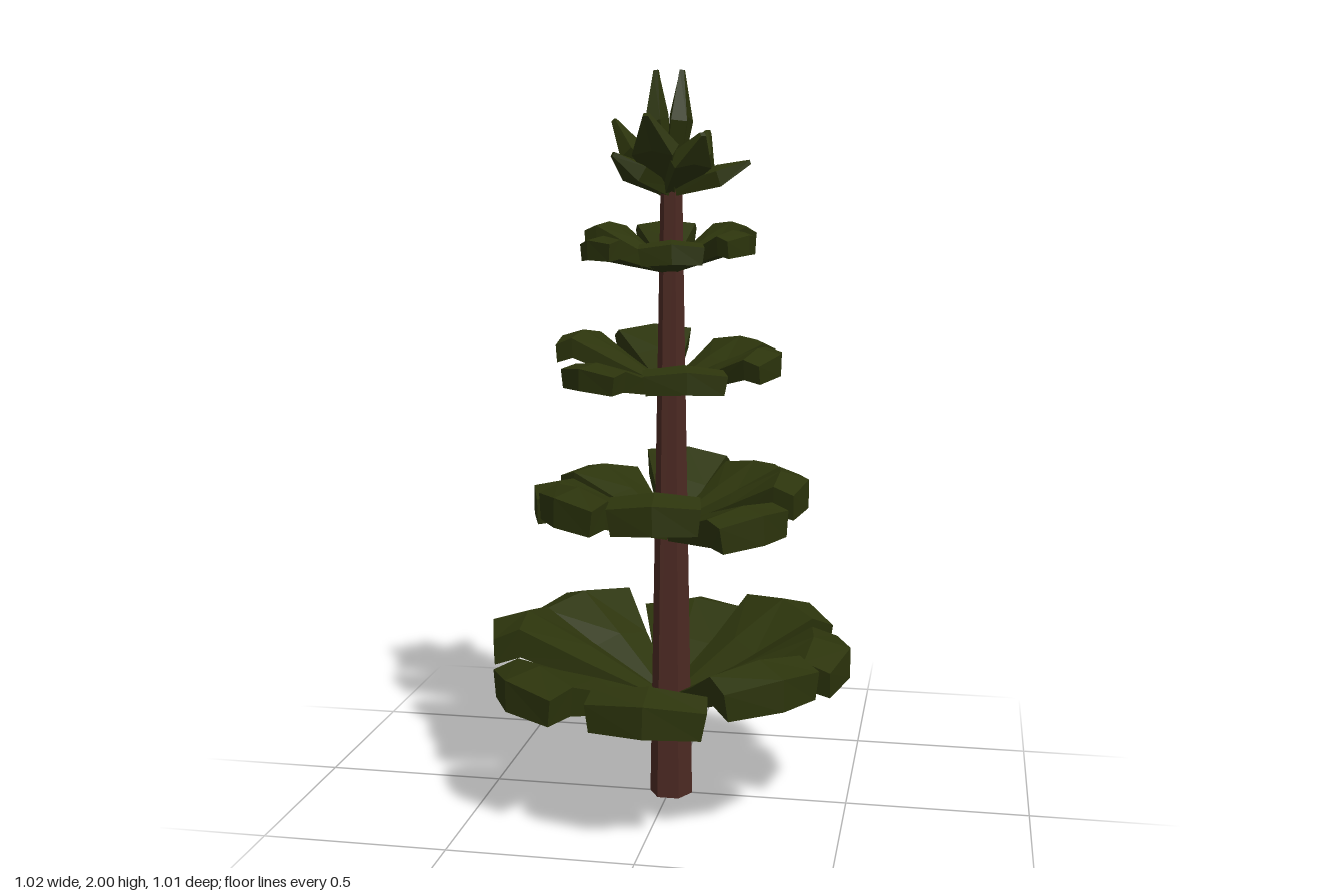
import * as THREE from 'three';

const needles = new THREE.MeshStandardMaterial({ name: 'needle green', color: 0x2c340c, flatShading: true });
const bark = new THREE.MeshStandardMaterial({ name: 'bark brown', color: 0x4c2922, flatShading: true });

// Small seeded generator giving -1..1
let seed = 7;
const jitter = () => {
  seed = (seed * 16807) % 2147483647;
  return (seed / 2147483647) * 2 - 1;
};

// Lofts a bough along +z. Stations: [edge z, middle z, half width, top y, thickness, ridge height]
function loftBough(stations) {
  const pos = [], idx = [];
  for (const [ze, zm, w, y, t, ridge] of stations) {
    pos.push(-w, y - ridge, ze, 0, y, zm, w, y - ridge, ze);
    pos.push(w * 0.92, y - ridge - t, ze, 0, y - t - ridge * 0.6, zm, -w * 0.92, y - ridge - t, ze);
  }
  for (let i = 0; i < stations.length - 1; i++) {
    for (let j = 0; j < 6; j++) {
      const a = i * 6 + j, b = i * 6 + (j + 1) % 6, c = b + 6, d = a + 6;
      idx.push(a, c, b, a, d, c);
    }
  }
  const e = (stations.length - 1) * 6;
  idx.push(e, e + 5, e + 4, e, e + 4, e + 1, e + 1, e + 4, e + 3, e + 1, e + 3, e + 2);
  idx.push(0, 4, 5, 0, 1, 4, 1, 3, 4, 1, 2, 3);
  const geo = new THREE.BufferGeometry();
  geo.setAttribute('position', new THREE.Float32BufferAttribute(pos, 3));
  geo.setIndex(idx);
  geo.computeVertexNormals();
  return geo;
}

// A ring of broad boughs; y is the underside at the trunk, tops the rim height of each bough
function makeTier({ name, y, radius, half, thick, turn, tops }) {
  const tier = new THREE.Group();
  tier.name = name;
  tops.forEach((top, i) => {
    const r = radius * (1 + jitter() * 0.02);
    const root = thick * 0.5 + 0.01;
    const lift = top - y - root;
    const ridge = half * 0.13;
    const bough = new THREE.Mesh(loftBough([
      [0.01, 0.01, half * 0.2, root, thick * 0.5, ridge * 0.3],
      [r * 0.45, r * 0.45, half * 0.6, root + lift * 0.58, thick * 0.75, ridge],
      [r * 0.77, r * 0.8, half * 0.95, root + lift, thick, ridge],
      [r * 0.91, r, half, root + lift * 0.86, thick * 0.9, ridge],
    ]), needles);
    bough.name = 'bough';
    bough.position.y = y;
    bough.rotation.y = turn + (i / tops.length) * Math.PI * 2 + jitter() * 0.04;
    bough.rotation.z = jitter() * 0.07;
    tier.add(bough);
  });
  return tier;
}

// A pointed crown leaf aimed by its heading, reach and height
function makeLeaf(heading, reach, height, half) {
  const len = Math.hypot(reach, height);
  const geo = loftBough([
    [0, 0, half * 0.4, 0.012, 0.03, 0.004],
    [len * 0.58, len * 0.62, half, 0.02, 0.042, 0.014],
    [len, len, 0.008, 0.006, 0.012, 0],
  ]);
  geo.rotateX(-Math.atan2(height, reach));
  const leaf = new THREE.Mesh(geo, needles);
  leaf.name = 'crownLeaf';
  leaf.rotation.y = heading;
  return leaf;
}

export function createModel() {
  seed = 7;
  const tree = new THREE.Group();
  tree.name = 'coniferTree';

  // Tapering six-sided trunk
  const trunk = new THREE.Mesh(new THREE.CylinderGeometry(0.029, 0.06, 1.72, 6), bark);
  trunk.name = 'trunk';
  trunk.position.set(0.006, 0.86, 0);
  trunk.rotation.y = Math.PI / 6;
  tree.add(trunk);

  // Four tiers of boughs, shrinking upwards; rim heights run from the front round by the left
  const tiers = [
    { name: 'lowestTier', y: 0.235, radius: 0.508, half: 0.158, thick: 0.082, turn: 0,
      tops: [0.44, 0.49, 0.475, 0.5, 0.455, 0.5, 0.505, 0.44] },
    { name: 'secondTier', y: 0.73, radius: 0.385, half: 0.122, thick: 0.078, turn: 0.06,
      tops: [0.93, 0.88, 0.935, 0.92, 0.94, 0.9, 0.89, 0.92] },
    { name: 'thirdTier', y: 1.13, radius: 0.318, half: 0.11, thick: 0.055, turn: 0.35,
      tops: [1.25, 1.275, 1.28, 1.305, 1.305, 1.245] },
    { name: 'fourthTier', y: 1.46, radius: 0.24, half: 0.085, thick: 0.05, turn: 0.2,
      tops: [1.565, 1.585, 1.6, 1.6, 1.6, 1.57] },
  ];
  for (const t of tiers) tree.add(makeTier(t));

  // Crown: spreading leaves around two upright ones
  const crown = new THREE.Group();
  crown.name = 'crown';
  crown.position.y = 1.69;
  const spread = [
    [1.75, 0.215, 0.07], [0.75, 0.16, 0.14], [-0.2, 0.16, 0.19], [-1.0, 0.16, 0.09],
    [-1.7, 0.155, 0.18], [-2.6, 0.19, 0.13], [2.75, 0.2, 0.15],
  ];
  for (const [heading, reach, height] of spread) crown.add(makeLeaf(heading, reach, height, 0.062));
  for (const s of [-1, 1]) crown.add(makeLeaf(s * Math.PI / 2, 0.035, 0.308, 0.052));
  tree.add(crown);

  return tree;
}
